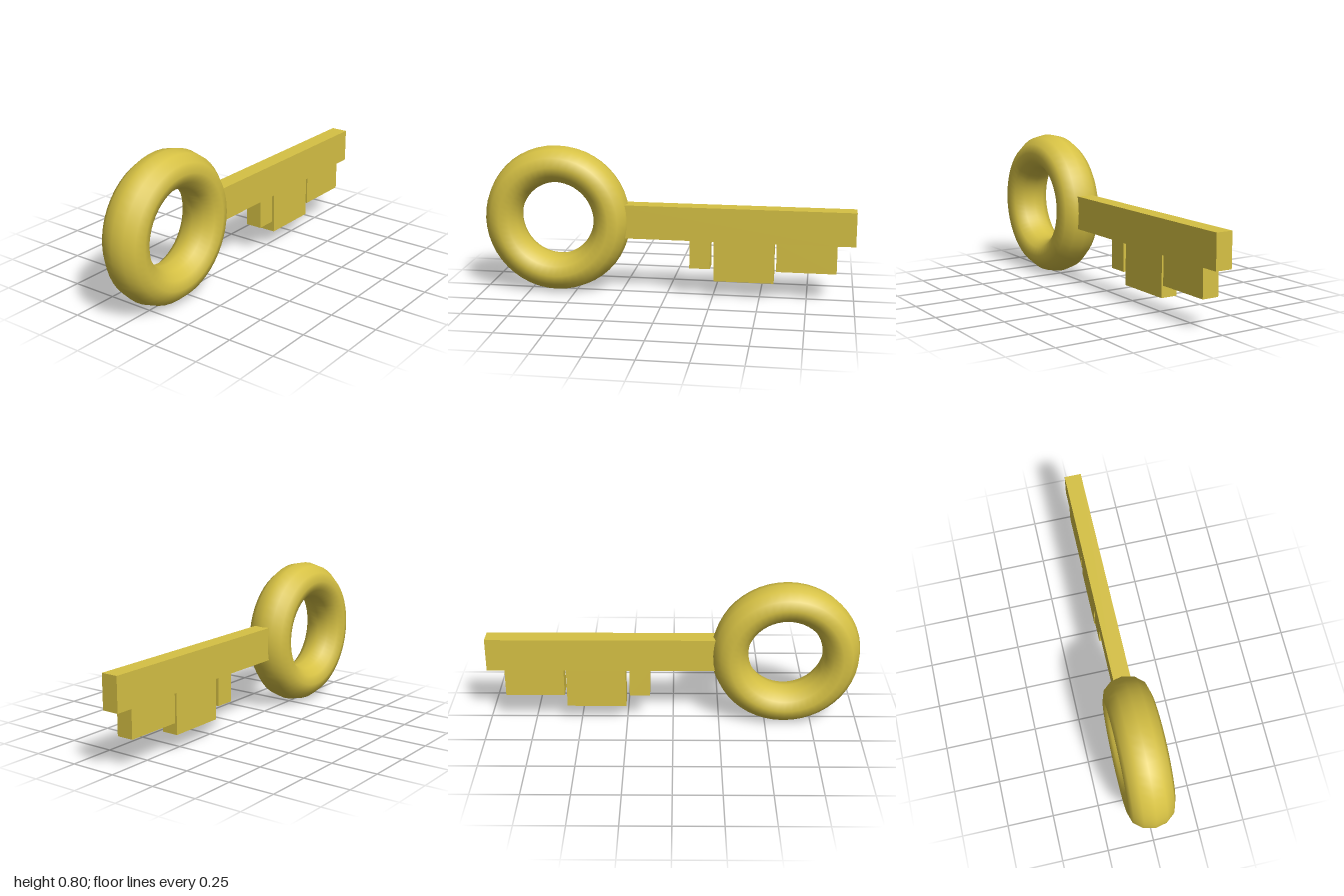
import * as THREE from 'three';

export function createModel() {
  const key = new THREE.Group();
  key.name = 'key';
  const brass = new THREE.MeshStandardMaterial({ color: 0xd6c144 });
  brass.name = 'brass';

  // Ring handle, slightly thicker front to back
  const bow = new THREE.Mesh(new THREE.TorusGeometry(0.2985, 0.1, 12, 48), brass);
  bow.name = 'ringHandle';
  bow.scale.z = 1.22;
  bow.position.set(-0.6015, 0.3985, 0);
  key.add(bow);

  // Flat shaft and teeth in one outline
  const top = 0.491, base = 0.309, start = -0.3, depth = 0.092;
  const teeth = [ // left, right, bottom
    [0.125, 0.235, 0.157],
    [0.255, 0.575, 0.091],
    [0.588, 0.905, 0.157],
  ];
  const outline = new THREE.Shape();
  outline.moveTo(start, top);
  outline.lineTo(start, base);
  for (const [left, right, bottom] of teeth) {
    outline.lineTo(left, base);
    outline.lineTo(left, bottom);
    outline.lineTo(right, bottom);
    outline.lineTo(right, base);
  }
  outline.lineTo(1, base);
  outline.lineTo(1, top);
  outline.closePath();
  const bladeGeometry = new THREE.ExtrudeGeometry(outline, { depth, bevelEnabled: false });
  bladeGeometry.translate(0, 0, -depth / 2);
  const blade = new THREE.Mesh(bladeGeometry, brass);
  blade.name = 'shaftWithTeeth';
  key.add(blade);

  return key;
}
